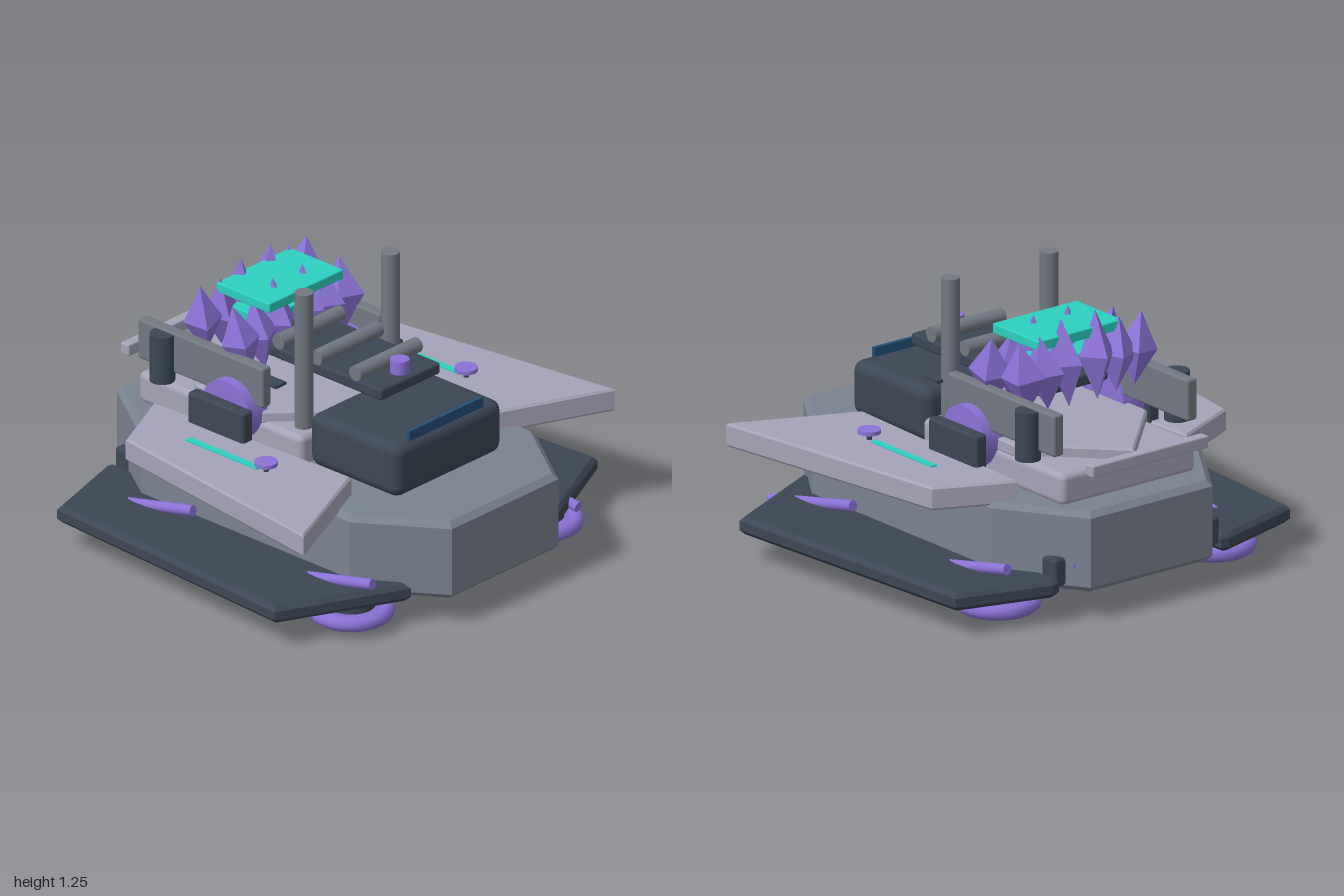
import * as THREE from 'three';
import { RoundedBoxGeometry } from 'three/addons/geometries/RoundedBoxGeometry.js';

const paint = (name, color) => {
  const m = new THREE.MeshStandardMaterial({ color });
  m.name = name;
  return m;
};

export function createModel() {
  const model = new THREE.Group();
  model.name = 'hoverVehicle';
  const hullGrey = paint('hull grey', 0x7a8290);
  const steel = paint('steel grey', 0x727881);
  const pale = paint('pale lilac grey', 0xa5a3b8);
  const dark = paint('dark slate', 0x3c4654);
  const purple = paint('purple', 0x8b72d6);
  const teal = paint('teal', 0x2dd0c0);
  const blue = paint('glass blue', 0x245078);

  const add = (name, geometry, material, x = 0, y = 0, z = 0) => {
    const mesh = new THREE.Mesh(geometry, material);
    mesh.name = name;
    mesh.position.set(x, y, z);
    model.add(mesh);
    return mesh;
  };

  // Box given by its limits on each axis, with optional rounding
  const box = (name, material, [x0, x1], [y0, y1], [z0, z1], r = 0) => {
    const size = [x1 - x0, y1 - y0, z1 - z0];
    const geometry = r ? new RoundedBoxGeometry(...size, 2, r) : new THREE.BoxGeometry(...size);
    return add(name, geometry, material, (x0 + x1) / 2, (y0 + y1) / 2, (z0 + z1) / 2);
  };

  // Flat bevelled slab from an outline of [x, z] points
  const slab = (name, material, outline, y0, y1, bevel) => {
    const shape = new THREE.Shape(outline.map(([x, z]) => new THREE.Vector2(x, -z)));
    const geometry = new THREE.ExtrudeGeometry(shape, {
      depth: y1 - y0 - 2 * bevel, bevelEnabled: bevel > 0, bevelThickness: bevel,
      bevelSize: bevel, bevelOffset: -bevel, bevelSegments: 1,
    });
    geometry.rotateX(-Math.PI / 2);
    return add(name, geometry, material, 0, y0 + bevel, 0);
  };

  const cylinder = (name, material, r, length, x, y, z, sides = 24) =>
    add(name, new THREE.CylinderGeometry(r, r, length, sides), material, x, y, z);

  // Hull and belly disc
  slab('hull', hullGrey, [[-0.33, 0.97], [0.33, 0.97], [0.575, 0.61], [0.575, -0.6],
    [0.33, -0.97], [-0.33, -0.97], [-0.575, -0.6], [-0.575, 0.61]], 0.13, 0.49, 0.025);
  cylinder('bellyDisc', purple, 0.28, 0.09, 0, 0.045, -0.015, 32);

  // Front cabin with its glass strip
  box('cabin', dark, [-0.332, 0.332], [0.49, 0.736], [0.135, 0.655], 0.05);
  box('windowStrip', blue, [-0.23, 0.23], [0.725, 0.775], [0.612, 0.63]);

  // Rear deck, pointed cover and tail bar
  box('rearDeck', pale, [-0.365, 0.365], [0.48, 0.625], [-0.82, 0.13], 0.03);
  slab('pointedCover', pale, [[0, -0.85], [0.36, -0.49], [0.36, -0.1], [0.14, 0.13],
    [-0.14, 0.13], [-0.36, -0.1], [-0.36, -0.49]], 0.615, 0.672, 0.008);
  box('tailBar', pale, [-0.315, 0.315], [0.64, 0.695], [-0.965, -0.915], 0.008);

  // Raised tray, cross rollers and knob
  box('tray', dark, [-0.185, 0.185], [0.832, 0.885], [-0.45, 0.425], 0.012);
  for (const z of [0.28, 0.055, -0.165, -0.375]) {
    cylinder('roller', steel, 0.034, 0.385, 0, 0.918, z).rotation.z = Math.PI / 2;
  }
  cylinder('trayKnob', purple, 0.042, 0.06, 0, 0.917, 0.36);

  // Crystal rack: two rows of long shards under teal plates
  box('upperCrystalPlate', teal, [-0.23, 0.23], [1.06, 1.105], [-0.49, -0.18], 0.006);
  box('lowerCrystalPlate', teal, [-0.18, 0.18], [0.945, 0.99], [-0.46, -0.26], 0.006);
  const shard = new THREE.OctahedronGeometry(1, 0);
  for (const [z, y, tilt] of [[-0.27, 0.95, -0.1], [-0.49, 0.98, 0.1]]) {
    for (const x of [-0.31, -0.2, -0.085, 0.085, 0.2, 0.31]) {
      const inner = Math.abs(x) < 0.1;
      const crystal = add('crystal', shard, purple, x, inner ? y : y - 0.02, z);
      crystal.scale.set(0.085, inner ? 0.195 : 0.165, 0.1);
      crystal.rotation.set(tilt, x * 2, -x * 0.5);
    }
  }

  for (const s of [1, -1]) {
    const flip = ([a, b]) => (s > 0 ? [a, b] : [-b, -a]);
    const mirror = (points) => points.map(([x, z]) => [s * x, z]);

    // Low skirt and broad wing
    slab('skirt', dark, mirror([[1, 0.57], [0.44, 0.835], [0.44, -0.89], [0.48, -0.9],
      [0.91, -0.775]]), 0.12, 0.2, 0.02);
    slab('wing', pale, mirror([[0.965, 0.705], [0.412, 0.465], [0.46, -0.635],
      [0.8, -0.48]]), 0.47, 0.575, 0.01);
    box('wingStripe', teal, flip([0.61, 0.642]), [0.462, 0.581], [-0.28, 0.13]);
    cylinder('wingDisc', purple, 0.05, 0.017, s * 0.62, 0.613, 0.165);
    cylinder('wingDiscStem', dark, 0.012, 0.05, s * 0.62, 0.585, 0.165, 12);

    // Hover rings with dark hubs
    for (const z of [0.625, -0.015, -0.655]) {
      for (const [r, tube] of [[0.152, 0.036], [0.113, 0.022]]) {
        add('hoverRing', new THREE.TorusGeometry(r, tube, 10, 32), purple, s * 0.585, 0.07, z)
          .rotation.x = Math.PI / 2;
      }
      cylinder('hoverHub', dark, 0.105, 0.07, s * 0.585, 0.088, z);
    }

    // Slanted rods piercing the skirt
    for (const z of [0.53, -0.51]) {
      const rod = cylinder('skirtRod', purple, 0.024, 0.5, s * 0.637, 0.195, z, 12);
      const along = new THREE.Vector3(-s * 0.05, 0.09, -s * 0.48).normalize();
      rod.quaternion.setFromUnitVectors(new THREE.Vector3(0, 1, 0), along);
    }

    // Mast with a small offset tab
    cylinder('mast', steel, 0.04, 0.77, s * 0.268, 0.87, 0.055);
    const tabZ = s > 0 ? 0.1 : -0.085;
    box('mastTab', dark, flip([0.275, 0.34]), [0.79, 0.803], [tabZ - 0.045, tabZ + 0.045]);

    // Side panel, turbine, pod and canister
    box('sidePanel', steel, flip([0.335, 0.39]), [0.703, 0.89], [-0.795, -0.07], 0.012);
    cylinder('sideTurbine', purple, 0.14, 0.11, s * 0.38, 0.655, -0.24).rotation.z = Math.PI / 2;
    box('sidePod', dark, flip([0.437, 0.5]), [0.55, 0.715], [-0.405, -0.08], 0.015);
    cylinder('canister', dark, 0.055, 0.22, s * 0.405, 0.77, -0.637);

    // Rear thruster block
    box('rearBlock', dark, flip([0.33, 0.45]), [0.15, 0.282], [-0.875, -0.778], 0.02);
    cylinder('rearNozzle', purple, 0.015, 0.08, s * 0.36, 0.245, -0.87, 12).rotation.x = Math.PI / 2;
  }
  return model;
}
